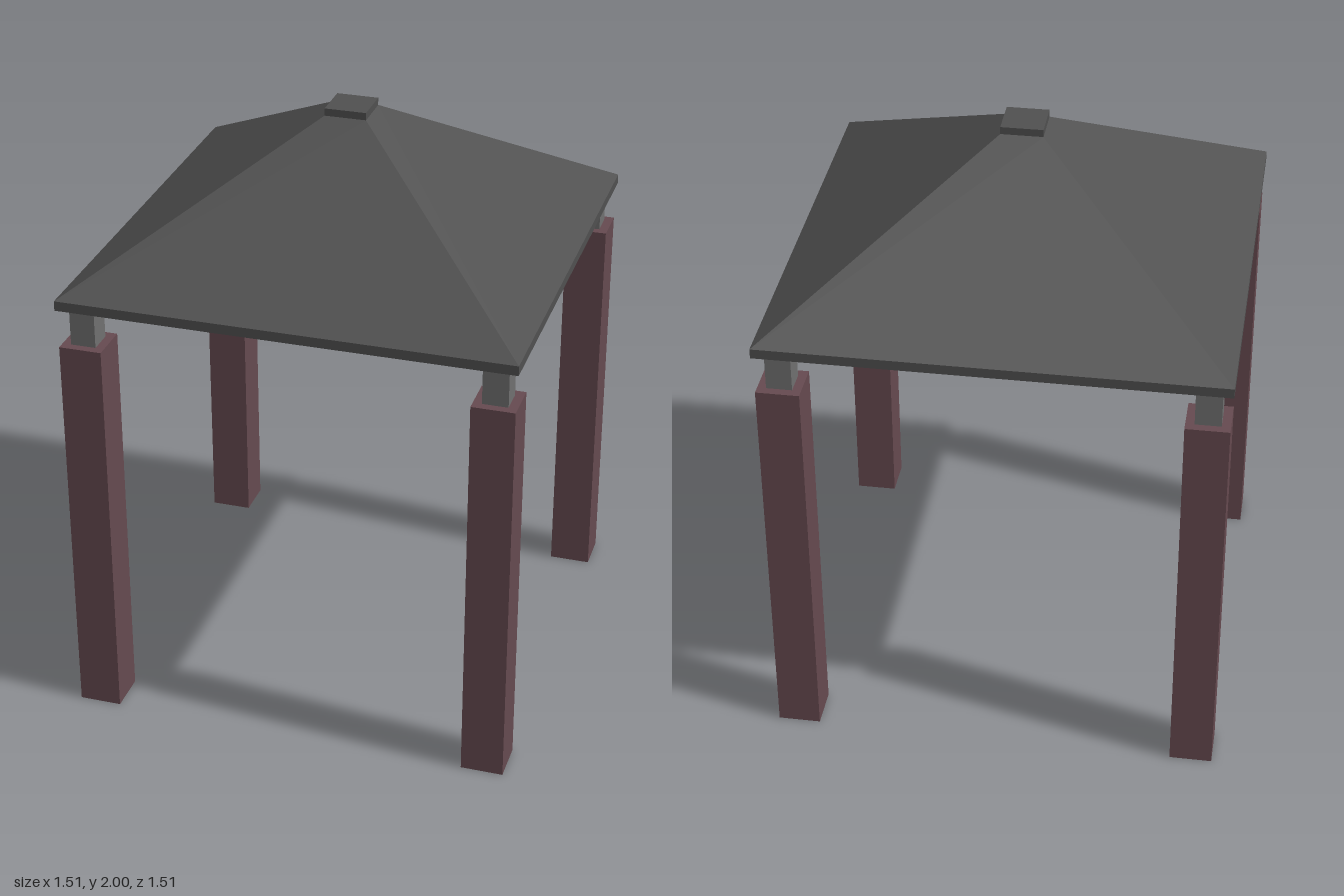
import * as THREE from 'three';

const roofMat = new THREE.MeshStandardMaterial({ color: 0x505050, flatShading: true });
const postMat = new THREE.MeshStandardMaterial({ color: 0x707070, flatShading: true });
const pillarMat = new THREE.MeshStandardMaterial({ color: 0x664a50, flatShading: true });

// Square block standing between two heights
function block(name, width, y0, y1, material) {
  const mesh = new THREE.Mesh(new THREE.BoxGeometry(width, y1 - y0, width), material);
  mesh.name = name;
  mesh.position.y = (y0 + y1) / 2;
  return mesh;
}

export function createModel() {
  const model = new THREE.Group();
  model.name = 'pavilion';

  // Four corner columns: a thick pillar with a slimmer post on top
  for (const [side, sx] of [['Left', 1], ['Right', -1]]) {
    for (const [end, sz] of [['front', 1], ['back', -1]]) {
      const column = new THREE.Group();
      column.name = `${end}${side}Column`;
      column.add(block('pillar', 0.142, 0, 1.365, pillarMat));
      column.add(block('post', 0.084, 1.365, 1.5, postMat));
      column.position.set(sx * 0.677, 0, sz * 0.678);
      model.add(column);
    }
  }

  // Roof: thin eave slab, truncated pyramid and a small cap
  const roof = new THREE.Group();
  roof.name = 'roof';
  roof.add(block('eaveSlab', 1.508, 1.497, 1.53, roofMat));

  const pyramidGeometry = new THREE.CylinderGeometry(
    0.07 * Math.SQRT2, 0.754 * Math.SQRT2, 0.445, 4, 1, true);
  pyramidGeometry.rotateY(Math.PI / 4);
  const pyramid = new THREE.Mesh(pyramidGeometry, roofMat);
  pyramid.name = 'roofPyramid';
  pyramid.position.y = 1.53 + 0.445 / 2;
  roof.add(pyramid);

  roof.add(block('roofCap', 0.14, 1.975, 2, roofMat));
  model.add(roof);

  return model;
}
